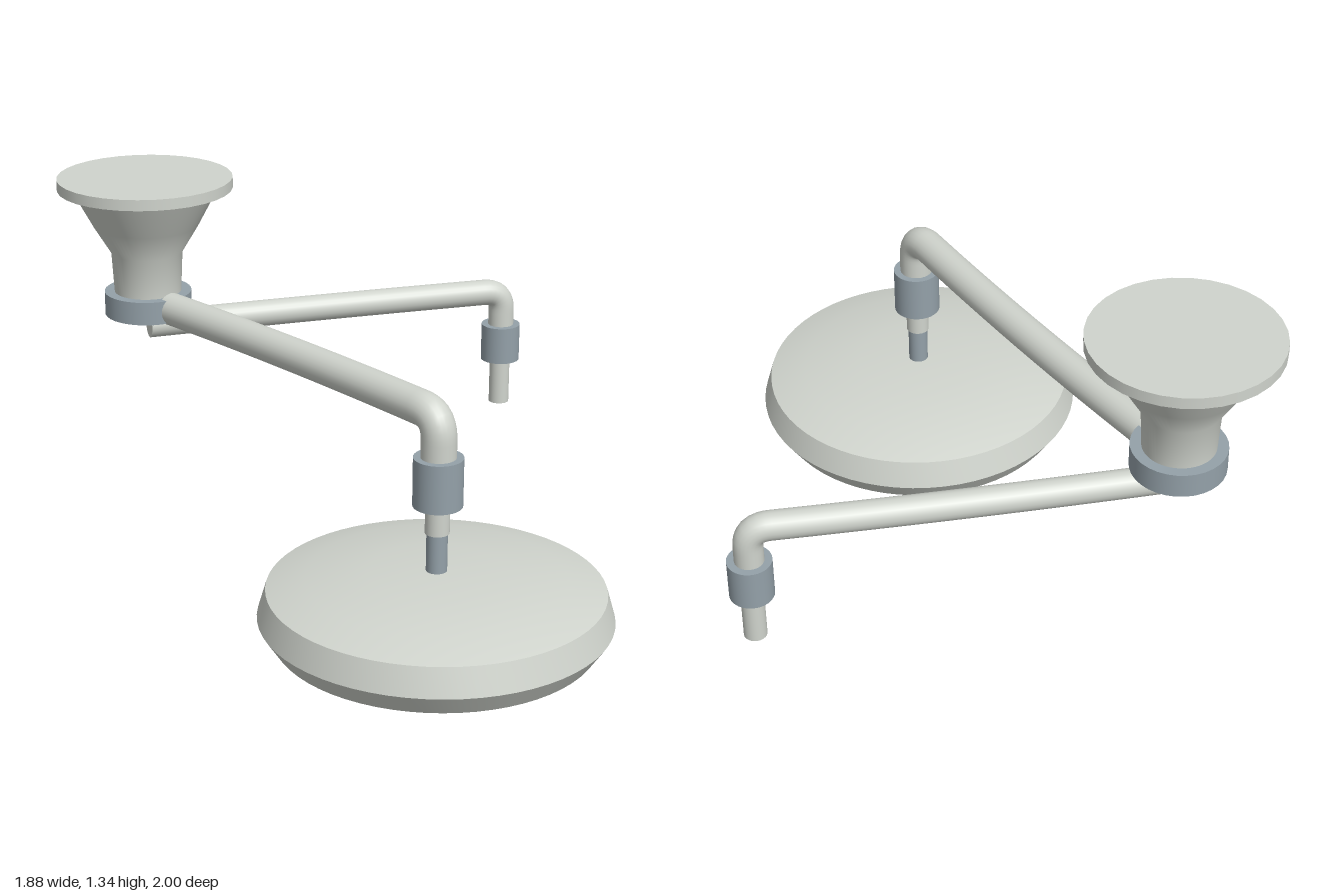
import * as THREE from 'three';
import { toCreasedNormals } from 'three/addons/utils/BufferGeometryUtils.js';

const paint = new THREE.MeshStandardMaterial({ name: 'pale grey paint', color: 0xd0d4cd });
const steel = new THREE.MeshStandardMaterial({ name: 'blue grey steel', color: 0x94a1a9 });
const dark = new THREE.MeshStandardMaterial({ name: 'dark grey trim', color: 0x55595a });

function add(parent, name, geometry, material) {
  const mesh = new THREE.Mesh(geometry, material);
  mesh.name = name;
  parent.add(mesh);
  return mesh;
}

// Upright cylinder on the parent's axis, between two heights
function post(parent, name, radius, y0, y1, material) {
  const mesh = add(parent, name, new THREE.CylinderGeometry(radius, radius, y1 - y0, 32), material);
  mesh.position.y = (y0 + y1) / 2;
}

// Turned part; the profile runs from bottom to top as [radius, y]
function turned(parent, name, profile, material) {
  const points = profile.map(([r, y]) => new THREE.Vector2(r, y));
  add(parent, name, toCreasedNormals(new THREE.LatheGeometry(points, 64), 0.6), material);
}

// Slightly bowed horizontal tube that turns down at its far end
function arm(parent, name, start, end, radius, bend, bottom, bow) {
  const corner = new THREE.Vector3(end[0], start.y, end[1]);
  const dir = corner.clone().sub(start).normalize();
  const side = new THREE.Vector3(dir.z, 0, -dir.x).multiplyScalar(bow);
  const bendStart = corner.clone().addScaledVector(dir, -bend);
  const bendEnd = corner.clone().setY(corner.y - bend);
  const middle = start.clone().lerp(bendStart, 0.5).add(side);
  const path = new THREE.CurvePath();
  path.add(new THREE.QuadraticBezierCurve3(start, middle, bendStart));
  path.add(new THREE.QuadraticBezierCurve3(bendStart, corner, bendEnd));
  path.add(new THREE.LineCurve3(bendEnd, corner.clone().setY(bottom)));
  add(parent, name, new THREE.TubeGeometry(path, 90, radius, 24), paint);
  const cap = add(parent, name + 'Cap', new THREE.CircleGeometry(radius, 24), paint);
  cap.position.copy(start);
  cap.lookAt(start.clone().multiplyScalar(2).sub(middle));
}

function groupAt(parent, name, x, z) {
  const group = new THREE.Group();
  group.name = name;
  group.position.set(x, 0, z);
  parent.add(group);
  return group;
}

export function createModel() {
  const model = new THREE.Group();
  model.name = 'ceilingLamp';

  // Ceiling mount
  const mount = groupAt(model, 'ceilingMount', -0.663, -0.355);
  post(mount, 'ceilingPlate', 0.279, 1.3, 1.335, paint);
  turned(mount, 'flaredNeck', [[0.107, 0.955], [0.114, 1.09], [0.168, 1.18], [0.232, 1.3]], paint);
  post(mount, 'mountCollar', 0.14, 0.885, 0.96, steel);

  // Two swinging arms
  arm(model, 'lampArm', new THREE.Vector3(-0.57, 0.922, -0.29), [0.415, 0.475], 0.052, 0.075, 0.78, 0.025);
  arm(model, 'spareArm', new THREE.Vector3(-0.663, 0.842, -0.355), [0.415, -0.935], 0.043, 0.065, 0.71, 0.012);

  // Spare arm fitting
  const spare = groupAt(model, 'spareFitting', 0.415, -0.935);
  post(spare, 'spareCollar', 0.065, 0.6, 0.725, steel);
  post(spare, 'spareRod', 0.034, 0.445, 0.6, paint);

  // Lamp suspension
  const lamp = groupAt(model, 'lamp', 0.415, 0.475);
  post(lamp, 'lampCollar', 0.073, 0.645, 0.793, steel);
  post(lamp, 'upperRod', 0.036, 0.56, 0.645, paint);
  post(lamp, 'lowerRod', 0.031, 0.42, 0.56, steel);

  // Lamp housing
  turned(lamp, 'housing', [
    [0.477, 0.235], [0.52, 0.3], [0.495, 0.385], [0.38, 0.418], [0.2, 0.436], [0, 0.443],
  ], paint);

  // Shallow underside in concentric bands
  const bands = [
    ['centreDisc', 0, 0.09, dark], ['innerLens', 0.09, 0.21, paint],
    ['innerRing', 0.21, 0.222, dark], ['middleLens', 0.222, 0.35, paint],
    ['outerRing', 0.35, 0.362, dark], ['outerLens', 0.362, 0.435, paint],
  ];
  const height = (r) => 0.212 + 0.07 * r * r;
  for (const [name, r0, r1, material] of bands) {
    turned(lamp, name, [[r0, height(r0)], [r1, height(r1)]], material);
  }
  turned(lamp, 'lensRim', [[0.435, height(0.435)], [0.44, 0.234], [0.477, 0.235]], paint);

  // Centre handle
  post(lamp, 'handleRod', 0.03, 0.1, 0.23, paint);
  post(lamp, 'handle', 0.043, 0, 0.1, steel);

  return model;
}
